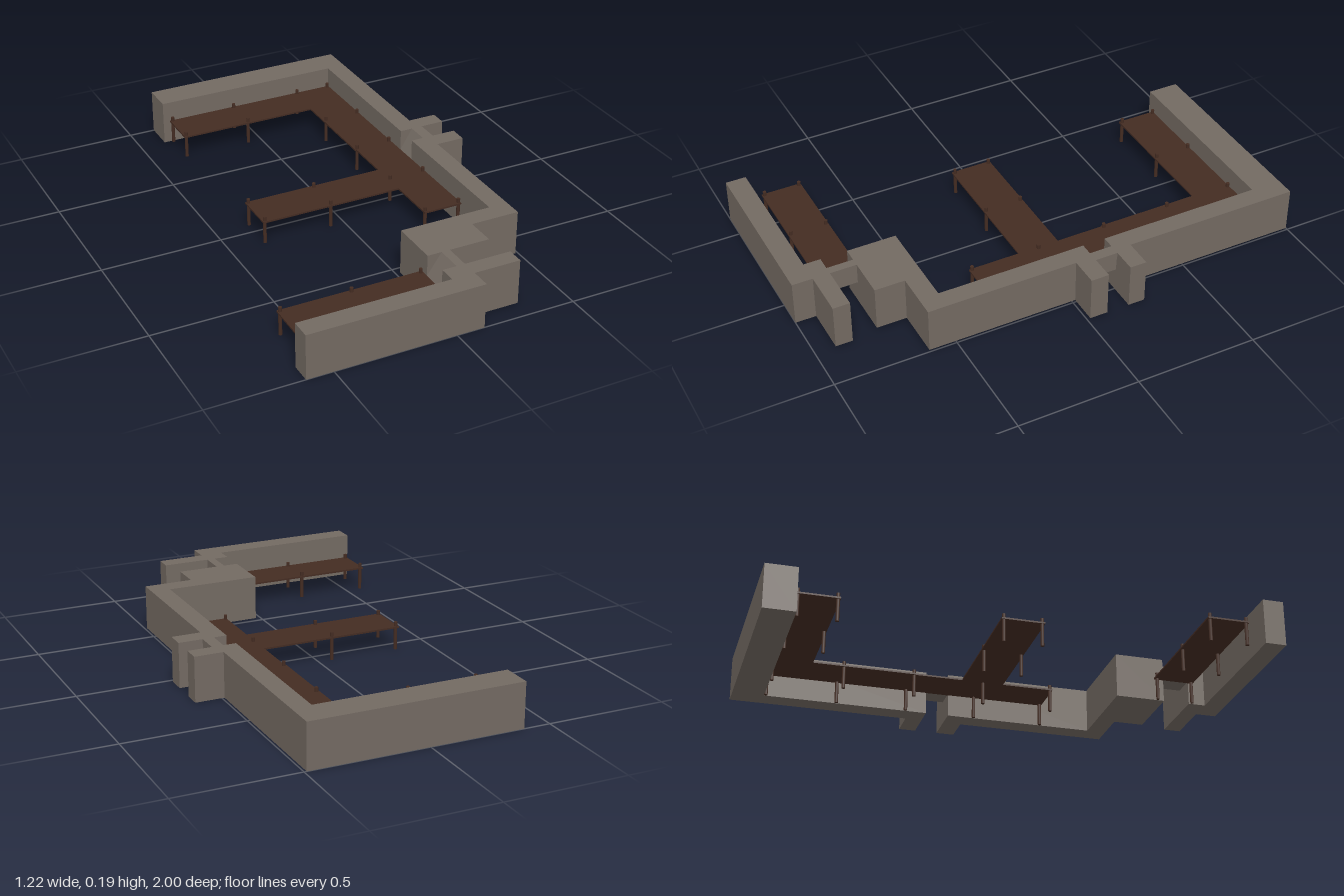
import * as THREE from 'three';

const WALL_H = 0.187, DECK_Y = 0.1, DECK_T = 0.007;

export function createModel() {
  const model = new THREE.Group();
  model.name = 'harbour';
  const stone = new THREE.MeshStandardMaterial({ color: 0x736a62 });
  stone.name = 'stone';
  const wood = new THREE.MeshStandardMaterial({ color: 0x442c22 });
  wood.name = 'dark wood';

  const add = (name, geometry, material, parent = model) => {
    const mesh = new THREE.Mesh(geometry, material);
    mesh.name = name;
    parent.add(mesh);
    return mesh;
  };
  const shapeOf = (pts) => new THREE.Shape(pts.map(([a, b]) => new THREE.Vector2(a, b)));

  // Quay walls: plan outlines (x, z) raised to wall height
  const quay = (name, pts) => {
    const g = new THREE.ExtrudeGeometry(shapeOf(pts), { depth: WALL_H, bevelEnabled: false });
    g.rotateX(Math.PI / 2).translate(0, WALL_H, 0);
    add(name, g, stone);
  };
  quay('backQuay', [[-0.39, -1], [0.49, -1], [0.49, -0.255], [0.61, -0.255],
    [0.61, -0.185], [0.41, -0.185], [0.41, -0.87], [-0.39, -0.87]]);
  quay('middleQuay', [[0.41, -0.09], [0.61, -0.09], [0.61, -0.015], [0.49, -0.015], [0.49, 0.61],
    [0.285, 0.61], [0.285, 0.735], [0.02, 0.735], [0.02, 0.53], [0.41, 0.53]]);
  quay('frontQuay', [[0.02, 0.845], [0.31, 0.845], [0.31, 0.915], [0.115, 0.915],
    [0.115, 1], [-0.61, 1], [-0.61, 0.915], [0.02, 0.915]]);

  // Ramps bridging the gaps, from deck level up to the quay top
  const ramp = (name, x0, x1, x2, z0, z1) => {
    const profile = shapeOf([[x0, DECK_Y], [x2, DECK_Y], [x2, WALL_H], [x1, WALL_H]]);
    const g = new THREE.ExtrudeGeometry(profile, { depth: z1 - z0, bevelEnabled: false });
    add(name, g.translate(0, 0, z0), stone);
  };
  ramp('frontRamp', 0.02, 0.08, 0.115, 0.735, 0.845);
  ramp('sideRamp', 0.41, 0.463, 0.5, -0.185, -0.09);

  // Narrow courses on the outer face of the side ramp
  const courses = 5, courseH = (WALL_H - DECK_Y) / courses;
  for (let i = 0; i < courses; i++) {
    const w = 0.004 + i * 0.0015;
    const g = new THREE.BoxGeometry(w, courseH, 0.095);
    add('rampCourse', g.translate(0.5 + w / 2, DECK_Y + (i + 0.5) * courseH, -0.1375), stone);
  }

  // Timber decks: [name, x0, x1, z0, z1]
  [
    ['backJetty', -0.36, 0.238, -0.875, -0.7],
    ['walkwayBack', 0.238, 0.412, -0.875, -0.27],
    ['walkwayFront', 0.243, 0.412, -0.27, 0.322],
    ['middleJetty', -0.36, 0.243, -0.07, 0.105],
    ['frontJetty', -0.58, 0.02, 0.695, 0.865],
  ].forEach(([name, x0, x1, z0, z1]) => {
    const g = new THREE.BoxGeometry(x1 - x0, DECK_T, z1 - z0);
    add(name, g.translate((x0 + x1) / 2, DECK_Y - DECK_T / 2, (z0 + z1) / 2), wood);
  });

  // Mooring posts along both edges of each deck
  const postH = 0.118;
  const postGeometry = new THREE.CylinderGeometry(0.0075, 0.0075, postH, 8).translate(0, postH / 2, 0);
  const posts = new THREE.Group();
  posts.name = 'posts';
  model.add(posts);
  const rows = (xs, zs) => xs.forEach((x) => zs.forEach((z) =>
    add('post', postGeometry, wood, posts).position.set(x, 0, z)));
  rows([-0.35, -0.06], [-0.863, -0.71]);
  rows([0.25, 0.402], [-0.863, -0.57, -0.275, 0.02, 0.312]);
  rows([-0.35, -0.06], [-0.06, 0.095]);
  rows([-0.57, -0.28, 0.01], [0.705, 0.855]);

  return model;
}
